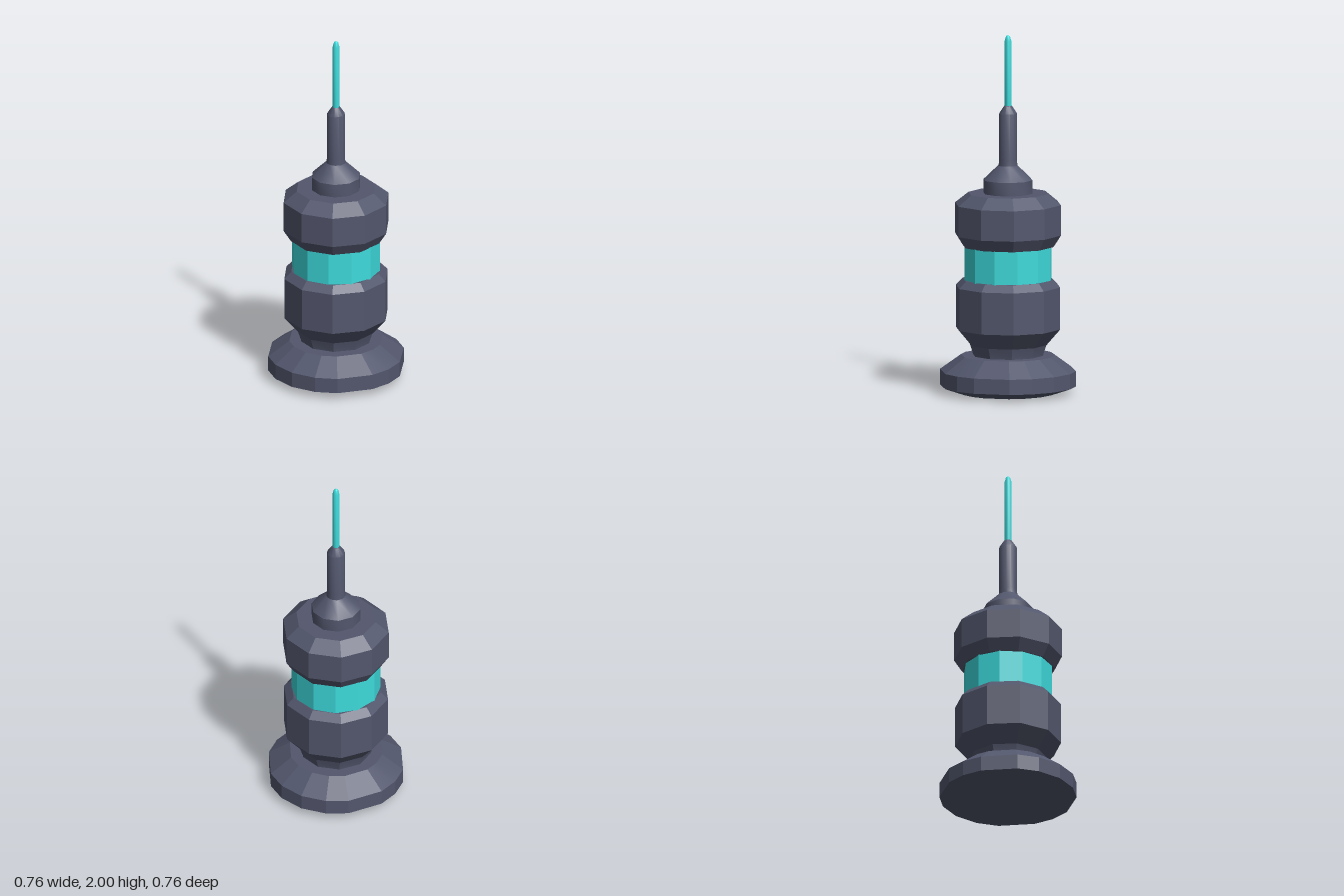
import * as THREE from 'three';
import { toCreasedNormals } from 'three/addons/utils/BufferGeometryUtils.js';

const slate = new THREE.MeshStandardMaterial({ color: 0x53576d });
slate.name = 'slate';
const teal = new THREE.MeshStandardMaterial({ color: 0x3ddadb });
teal.name = 'teal';

// Turned part from [radius, height] pairs, bottom to top; edges above the crease angle stay sharp
function turned(name, profile, sides, material, crease, warp) {
  const points = profile.map(([r, y]) => new THREE.Vector2(r, y));
  const geometry = new THREE.LatheGeometry(points, sides);
  if (warp) {
    const p = geometry.attributes.position;
    for (let i = 0; i < p.count; i++) {
      const r = Math.hypot(p.getX(i), p.getZ(i));
      const a = warp(Math.floor(i / points.length));
      p.setX(i, r * Math.sin(a));
      p.setZ(i, r * Math.cos(a));
    }
  }
  const mesh = new THREE.Mesh(toCreasedNormals(geometry, crease), material);
  mesh.name = name;
  return mesh;
}

// Uneven facets of the foot, mirrored in each half turn
const quarter = [0, 22, 41, 72];
const footAngle = (k) => {
  const half = k % 8;
  const degrees = half <= 3 ? quarter[half] : half === 4 ? 90 : 180 - quarter[8 - half];
  return THREE.MathUtils.degToRad(degrees + (k >= 8 ? 180 : 0) + (k >= 16 ? 180 : 0));
};

export function createModel() {
  const model = new THREE.Group();
  model.name = 'antennaDevice';
  model.add(
    // Wide foot with chamfered rims
    turned('foot', [[0, 0], [0.265, 0], [0.38, 0.04], [0.38, 0.125], [0.262, 0.21], [0, 0.21]],
      16, slate, 0.2, footAngle),
    // Lower body with its narrow waist
    turned('lowerBody', [[0.197, 0.2], [0.2, 0.22], [0.217, 0.27], [0.295, 0.36], [0.295, 0.595], [0.255, 0.635], [0, 0.635]],
      10, slate, 0.3),
    // Glowing band between the two bodies
    turned('band', [[0.247, 0.625], [0.247, 0.825]], 12, teal, 0.3),
    // Upper body
    turned('upperBody', [[0, 0.82], [0.257, 0.82], [0.299, 0.885], [0.299, 1.055], [0.224, 1.115], [0, 1.115]],
      10, slate, 0.3),
    // Conical collar
    turned('collar', [[0.138, 1.11], [0.138, 1.19], [0.055, 1.27]], 10, slate, 0.64),
    // Antenna sleeve
    turned('sleeve', [[0.055, 1.26], [0.05, 1.3], [0.05, 1.56], [0.022, 1.603], [0, 1.603]], 12, slate, 0.6),
    // Thin antenna with a rounded tip
    turned('antenna', [[0.019, 1.59], [0.019, 1.965], [0.012, 1.99], [0, 2]], 10, teal, 0.7)
  );
  return model;
}
